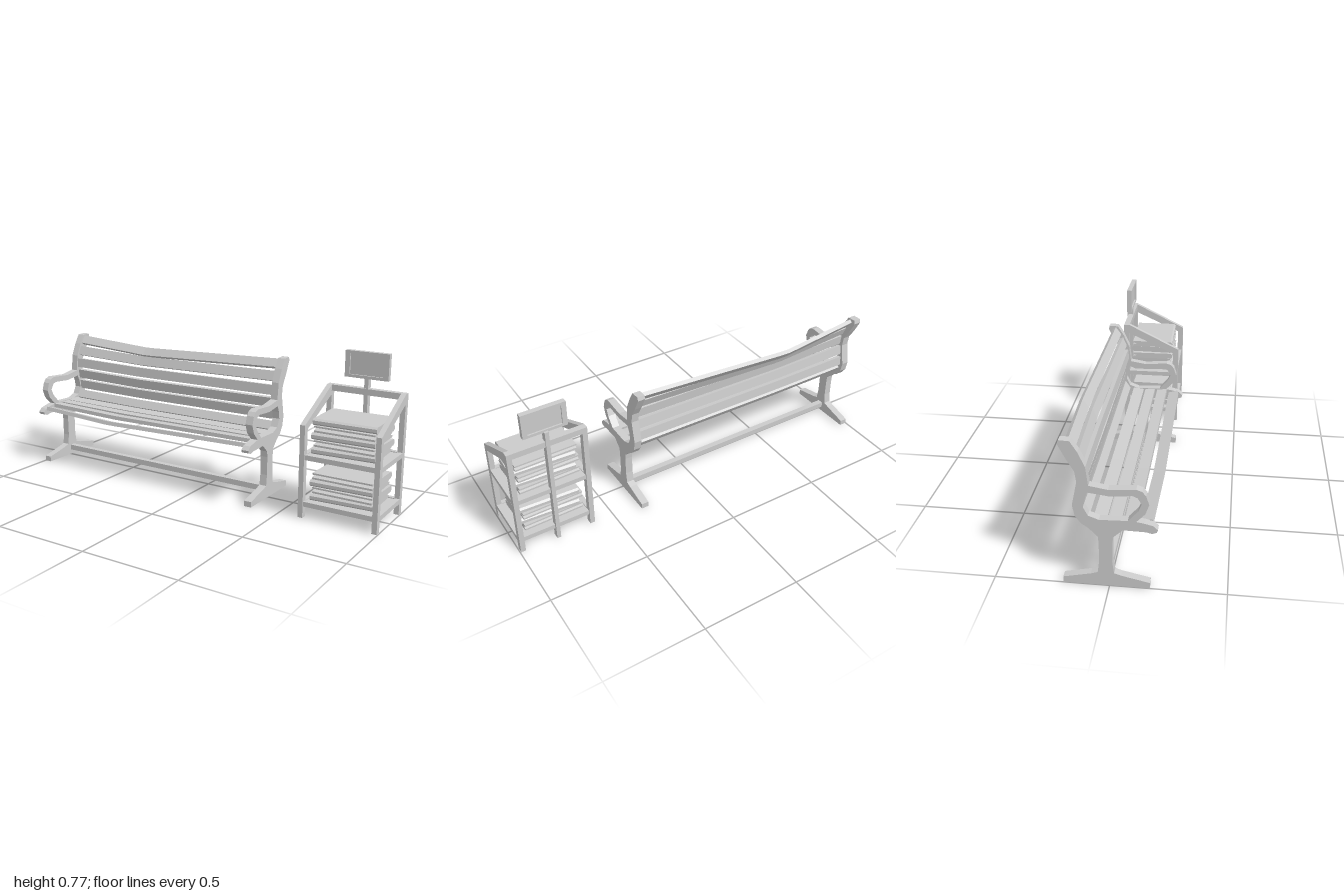
import * as THREE from 'three';

const mat = new THREE.MeshStandardMaterial({ color: 0xcccccc, flatShading: true });

function add(parent, name, geometry, x = 0, y = 0, z = 0) {
  const mesh = new THREE.Mesh(geometry, mat);
  mesh.name = name;
  mesh.position.set(x, y, z);
  parent.add(mesh);
  return mesh;
}

// Box given by its limits on each axis
function box(parent, name, x0, x1, y0, y1, z0, z1) {
  return add(parent, name, new THREE.BoxGeometry(x1 - x0, y1 - y0, z1 - z0),
    (x0 + x1) / 2, (y0 + y1) / 2, (z0 + z1) / 2);
}

const toPoints = (list) => list.map(([a, b]) => new THREE.Vector2(a, b));

// Side profile in (z, y), extruded along x and centred on x = 0
function sideExtrude(outline, width, hole) {
  const shape = new THREE.Shape(toPoints(outline));
  if (hole) shape.holes.push(new THREE.Path(toPoints(hole)));
  const g = new THREE.ExtrudeGeometry(shape, { depth: width, bevelEnabled: false });
  return g.translate(0, 0, -width / 2).rotateY(-Math.PI / 2);
}

function createBench() {
  const bench = new THREE.Group();
  bench.name = 'bench';

  // Cast end frames: foot, leg, seat lip, arm loop and curved back in one outline
  const outline = [
    [0.172, 0], [0.172, 0.028], [0.05, 0.055], [0.02, 0.065], [0.013, 0.12], [0.013, 0.215],
    [0.016, 0.245], [0.06, 0.285], [0.155, 0.283], [0.18, 0.277], [0.2, 0.284], [0.204, 0.297],
    [0.185, 0.315], [0.15, 0.324], [0.115, 0.33], [0.152, 0.37], [0.168, 0.415], [0.155, 0.455],
    [0.14, 0.474], [0.115, 0.483], [0, 0.474], [-0.08, 0.487], [-0.085, 0.53], [-0.09, 0.572],
    [-0.12, 0.638], [-0.15, 0.685], [-0.195, 0.687], [-0.2, 0.668], [-0.165, 0.6], [-0.135, 0.55],
    [-0.128, 0.5], [-0.14, 0.44], [-0.15, 0.39], [-0.14, 0.34], [-0.115, 0.305], [-0.085, 0.285],
    [-0.046, 0.245], [-0.043, 0.215], [-0.043, 0.12], [-0.05, 0.065], [-0.08, 0.055],
    [-0.2, 0.028], [-0.2, 0]];
  const armGap = [
    [0.08, 0.332], [0.122, 0.38], [0.137, 0.415], [0.12, 0.444], [0.1, 0.452], [0, 0.444],
    [-0.085, 0.455], [-0.1, 0.42], [-0.105, 0.385], [-0.085, 0.345], [-0.04, 0.328]];
  for (const x of [-0.98, 0.337]) add(bench, 'endFrame', sideExtrude(outline, 0.038, armGap), x);

  // Bent slats: centre z, y, tilt of the face, width, then sag in z and y
  const slats = [
    ['backSlat', -0.155, 0.655, 0.65, 0.048, -0.024, -0.033],
    ['backSlat', -0.122, 0.597, 0.4, 0.05, -0.018, -0.018],
    ['backSlat', -0.103, 0.53, 0.1, 0.05, -0.006, -0.008],
    ['backSlat', -0.11, 0.466, -0.15, 0.05, 0, -0.008],
    ['backSlat', -0.12, 0.402, -0.1, 0.048, 0, -0.005],
    ['backSlat', -0.105, 0.343, 0.6, 0.046, 0, -0.005],
    ['seatSlat', -0.038, 0.318, 1.45, 0.056, 0, -0.004],
    ['seatSlat', 0.026, 0.316, 1.57, 0.052, 0, -0.006],
    ['seatSlat', 0.092, 0.318, 1.65, 0.052, 0, -0.01],
    ['seatSlat', 0.156, 0.308, 1.85, 0.05, 0.006, -0.018]];
  const kink = -0.52, x0 = -0.963, x1 = 0.32;
  for (const [name, z, y, tilt, width, dz, dy] of slats) {
    const g = new THREE.BoxGeometry(x1 - x0, width, 0.02, 24, 1, 1);
    g.rotateX(-tilt).translate((x0 + x1) / 2, 0, 0);
    const p = g.attributes.position;
    for (let i = 0; i < p.count; i++) {
      const x = p.getX(i);
      const sag = x < kink ? (x - x0) / (kink - x0) : (x1 - x) / (x1 - kink);
      p.setY(i, p.getY(i) + dy * sag);
      p.setZ(i, p.getZ(i) + dz * sag);
    }
    g.computeVertexNormals();
    add(bench, name, g, 0, y, z);
  }

  box(bench, 'stretcher', x0, x1, 0.026, 0.055, -0.03, 0);
  return bench;
}

function createStand() {
  const stand = new THREE.Group();
  stand.name = 'paperStand';

  // Posts and sloping side rails
  for (const x of [0.613, 0.983]) {
    const a = x - 0.0125, b = x + 0.0125;
    box(stand, 'backPost', a, b, 0, 0.59, -0.157, -0.126);
    box(stand, 'frontPost', a, b, 0, 0.432, 0.126, 0.156);
    add(stand, 'slopingRail', sideExtrude(
      [[0.156, 0.43], [0.156, 0.453], [-0.126, 0.592], [-0.157, 0.592], [-0.157, 0.545], [-0.126, 0.543], [0.126, 0.43]],
      0.025), x);
    for (const y of [0.056, 0.286]) box(stand, 'sideRail', a, b, y, y + 0.024, -0.126, 0.126);
  }
  box(stand, 'topRail', 0.625, 0.971, 0.562, 0.592, -0.157, -0.126);

  // Shelves with front and back rails
  for (const y of [0.056, 0.286]) {
    box(stand, 'shelf', 0.625, 0.971, y + 0.004, y + 0.02, -0.126, 0.126);
    box(stand, 'shelfFrontRail', 0.625, 0.971, y, y + 0.024, 0.126, 0.15);
    box(stand, 'shelfBackRail', 0.625, 0.971, y, y + 0.024, -0.15, -0.126);
  }

  // Pole and framed sign
  box(stand, 'signPole', 0.788, 0.808, 0, 0.645, -0.163, -0.13);
  const frame = new THREE.Shape(toPoints([[-0.109, -0.064], [0.109, -0.064], [0.109, 0.064], [-0.109, 0.064]]));
  frame.holes.push(new THREE.Path(toPoints([[-0.085, -0.05], [-0.085, 0.05], [0.085, 0.05], [0.085, -0.05]])));
  add(stand, 'signFrame', new THREE.ExtrudeGeometry(frame, { depth: 0.026, bevelEnabled: false }), 0.798, 0.704, -0.151);
  box(stand, 'signPanel', 0.713, 0.883, 0.654, 0.754, -0.143, -0.133);

  // Folded papers: notched open edge at one end, folded spine at the other
  const paper = [[-0.112, 0], [0.105, 0], [0.115, 0.008], [0.115, 0.023], [0.105, 0.031],
    [-0.112, 0.031], [-0.112, 0.023], [-0.09, 0.016], [-0.112, 0.009]];
  const turns = [0.03, -0.04, 0.02, -0.03, 0.015];
  const shifts = [-0.004, 0.006, -0.006, 0.004, 0];
  for (const [base, count] of [[0.08, 4], [0.31, 5]]) {
    for (let i = 0; i < count; i++) {
      const m = add(stand, 'foldedPaper', sideExtrude(paper, 0.31 - 0.008 * (i % 2)),
        0.798 + shifts[i], base + i * 0.0345 + 0.002, 0);
      m.rotation.y = turns[i] + (i % 2 ? Math.PI : 0);
      m.rotation.z = turns[i] * 0.4;
    }
  }
  return stand;
}

export function createModel() {
  const model = new THREE.Group();
  model.name = 'benchAndPaperStand';
  model.add(createBench(), createStand());
  return model;
}
